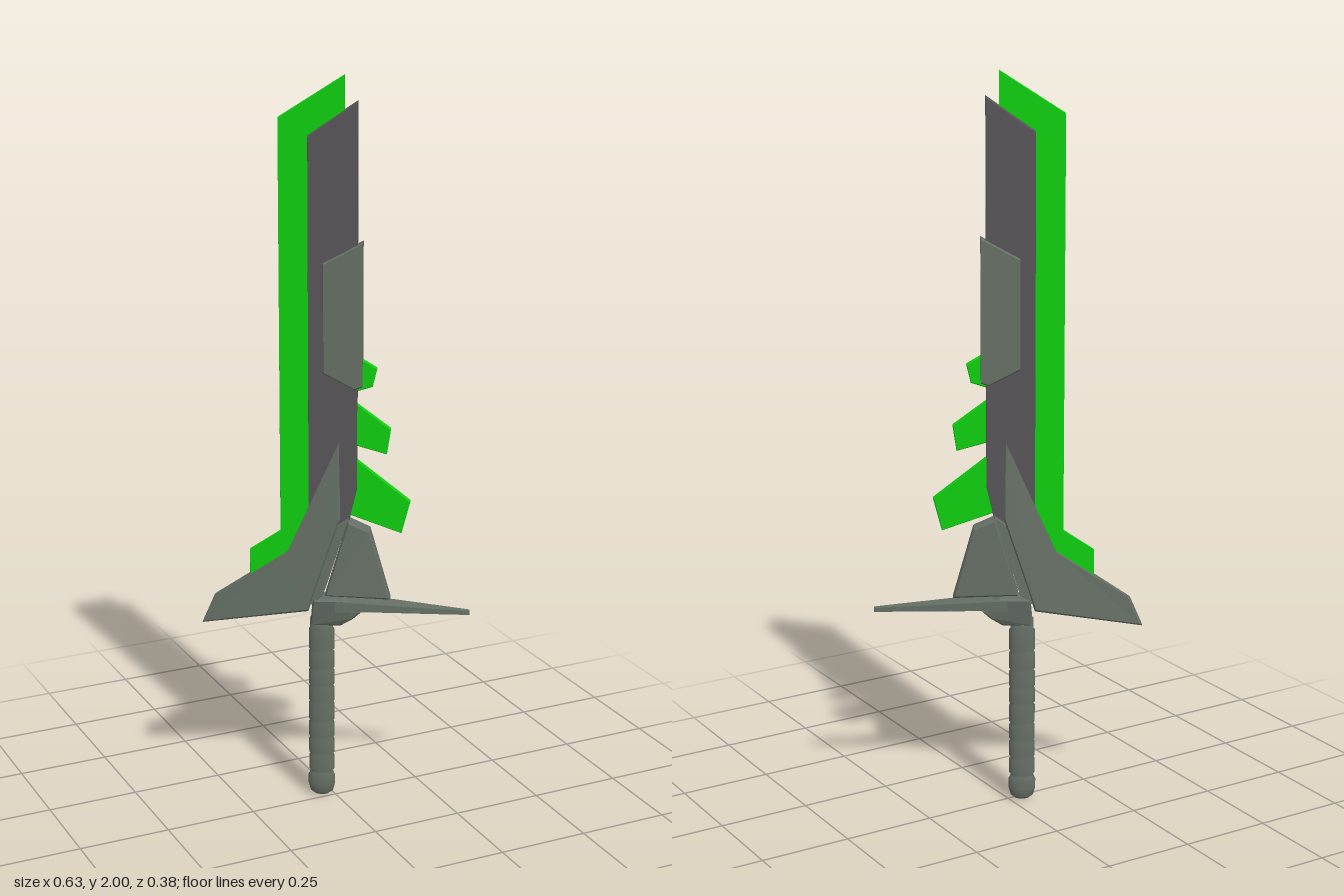
import * as THREE from 'three';

const ANGLE = THREE.MathUtils.degToRad(30.3); // the sword plane is turned about y
const STRETCH = 1 / Math.cos(ANGLE);

const material = (color) => new THREE.MeshStandardMaterial({ color, flatShading: true });

// Flat plate from an outline of [x, y, halfThickness] corners (counter-clockwise).
// The faces are inset by a small chamfer so that edges catch the light.
function plate(name, corners, mat, chamfer = 0.004) {
  const n = corners.length;
  const outline = corners.map(([x, y]) => new THREE.Vector2(x * STRETCH, y));
  const centre = outline.reduce((c, p) => c.add(p), new THREE.Vector2()).divideScalar(n);
  const inset = outline.map((p) => {
    const d = centre.clone().sub(p);
    return p.clone().addScaledVector(d, Math.min(0.2, chamfer / d.length()));
  });
  const positions = [];
  const rings = [[inset, 1], [outline, 0.7], [outline, -0.7], [inset, -1]];
  for (const [ring, s] of rings) ring.forEach((p, i) => positions.push(p.x, p.y, s * corners[i][2]));
  const index = [];
  for (const [a, b, c] of THREE.ShapeUtils.triangulateShape(outline, [])) {
    index.push(a, b, c, 3 * n + a, 3 * n + c, 3 * n + b);
  }
  for (let r = 0; r < 3; r++) {
    for (let i = 0; i < n; i++) {
      const j = (i + 1) % n, a = r * n, b = a + n;
      index.push(a + i, b + i, b + j, a + i, b + j, a + j);
    }
  }
  let geometry = new THREE.BufferGeometry();
  geometry.setAttribute('position', new THREE.Float32BufferAttribute(positions, 3));
  geometry.setIndex(index);
  geometry = geometry.toNonIndexed();
  geometry.computeVertexNormals();
  const mesh = new THREE.Mesh(geometry, mat);
  mesh.name = name;
  return mesh;
}

// Same thickness for all corners
const even = (points, h) => points.map(([x, y]) => [x, y, h]);

export function createModel() {
  const model = new THREE.Group();
  model.name = 'sword';
  const sword = new THREE.Group();
  sword.name = 'swordBody';
  sword.rotation.y = -ANGLE;
  model.add(sword);

  const metal = material(0x667066);
  const dark = material(0x585658);
  const green = material(0x0fd00f);

  // Blade: glowing cutting edge, dark core and side panel
  sword.add(plate('cuttingEdge', even([
    [0.02, 2.0], [-0.128, 1.89], [-0.128, 0.775], [-0.2, 0.72], [-0.2, 0.63], [0.0, 0.7], [0.02, 0.8],
  ], 0.004), green, 0.002));
  sword.add(plate('bladeCore', even([
    [0.05, 1.935], [-0.062, 1.845], [-0.062, 0.76], [0.03, 0.8], [0.05, 0.9],
  ], 0.011), dark));
  sword.add(plate('bladePanel', even([
    [0.062, 1.572], [-0.028, 1.515], [-0.028, 1.22], [0.045, 1.177], [0.062, 1.185],
  ], 0.018), metal));

  // Three fins behind the blade, growing towards the guard
  const fins = [
    [[0.045, 1.27], [0.045, 1.17], [0.085, 1.185], [0.095, 1.235]],
    [[0.04, 1.145], [0.04, 1.025], [0.118, 1.0], [0.127, 1.07]],
    [[0.03, 1.0], [0.03, 0.83], [0.153, 0.78], [0.173, 0.87]],
  ];
  fins.forEach((fin, i) => sword.add(plate('fin' + (i + 1), even(fin, 0.007 + 0.001 * i), green, 0.003)));

  // Guard: swept wing, slanted spine and rear block
  sword.add(plate('guardWing', [
    [0.008, 1.03, 0.016], [-0.11, 0.72, 0.018], [-0.285, 0.585, 0.011], [-0.314, 0.507, 0.011],
    [-0.062, 0.555, 0.034], [0.012, 0.82, 0.026],
  ], metal, 0.008));
  sword.add(plate('guardSpine', [
    [0.032, 0.822, 0.022], [0.006, 0.8, 0.022], [-0.06, 0.57, 0.03], [-0.028, 0.6, 0.03],
  ], metal));
  sword.add(plate('guardBlock', [
    [0.08, 0.79, 0.018], [0.03, 0.815, 0.022], [-0.024, 0.6, 0.034], [0.128, 0.592, 0.022],
  ], metal, 0.008));

  // Collar above the grip, with the long flat spike
  sword.add(plate('collar', [
    [0.02, 0.595, 0.038], [-0.052, 0.59, 0.036], [-0.058, 0.512, 0.022], [0.012, 0.512, 0.022],
    [0.042, 0.535, 0.03], [0.07, 0.565, 0.034],
  ], metal, 0.006));
  sword.add(plate('guardSpike', [
    [0.313, 0.562, 0.007], [0.0, 0.59, 0.04], [0.0, 0.56, 0.04], [0.07, 0.56, 0.033], [0.313, 0.551, 0.007],
  ], metal, 0.002));

  // Grip: oval lathe with grooves and a rounded pommel
  const profile = [[0, 0], [0.018, 0.003], [0.031, 0.013], [0.037, 0.035], [0.037, 0.06], [0.033, 0.068]];
  const bands = [0.075, 0.125, 0.175, 0.225, 0.282, 0.33, 0.38, 0.435, 0.5];
  for (let i = 0; i < bands.length - 1; i++) {
    profile.push([0.031, bands[i]], [0.035, bands[i] + 0.004], [0.035, bands[i + 1] - 0.004]);
  }
  profile.push([0.031, 0.5], [0.031, 0.53], [0, 0.53]);
  const gripMaterial = material(0x667066);
  gripMaterial.flatShading = false;
  const grip = new THREE.Mesh(
    new THREE.LatheGeometry(profile.map(([r, y]) => new THREE.Vector2(r, y)), 20), gripMaterial);
  grip.name = 'grip';
  grip.position.x = -0.033 * STRETCH;
  grip.scale.z = 0.55;
  sword.add(grip);

  return model;
}
